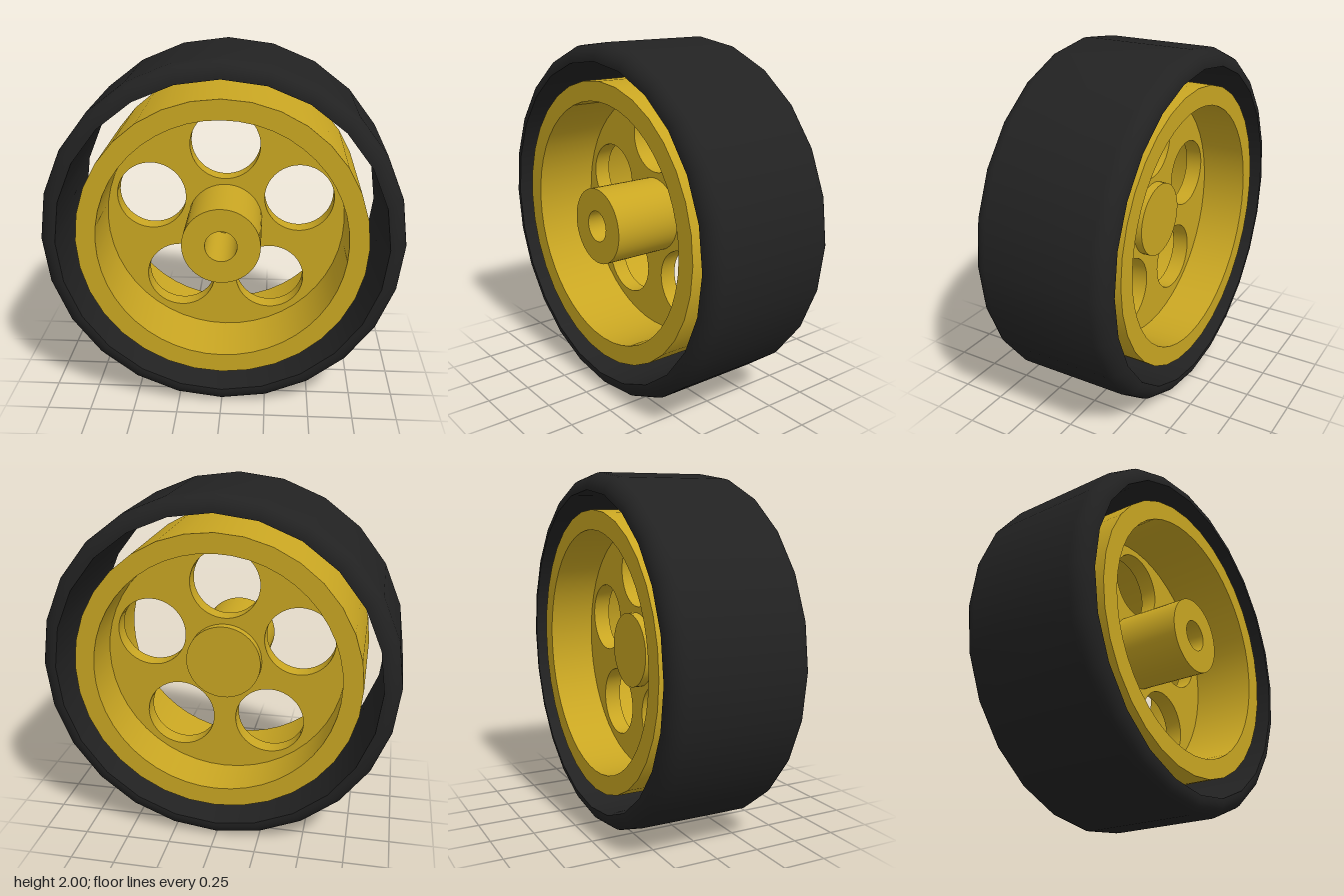
import * as THREE from 'three';
import { toCreasedNormals } from 'three/addons/utils/BufferGeometryUtils.js';

const gold = new THREE.MeshStandardMaterial({ color: 0xc9a622 });
gold.name = 'gold';
const black = new THREE.MeshStandardMaterial({ color: 0x222222 });
black.name = 'black rubber';

// Regular polygon outline with its first corner on +x
function circle(radius, sides, cx = 0, cy = 0, Type = THREE.Shape) {
  const points = [];
  for (let i = 0; i < sides; i++) {
    const a = (i / sides) * Math.PI * 2;
    points.push(new THREE.Vector2(cx + radius * Math.cos(a), cy + radius * Math.sin(a)));
  }
  return new Type(points);
}

// Outline with holes, extruded from z = back to z = front
function plate(name, shape, holes, back, front) {
  shape.holes.push(...holes);
  const geometry = new THREE.ExtrudeGeometry(shape, { depth: front - back, bevelEnabled: false });
  geometry.translate(0, 0, back);
  const mesh = new THREE.Mesh(toCreasedNormals(geometry, 0.6), gold);
  mesh.name = name;
  return mesh;
}

// Thin tyre band with rounded outer shoulders and a straight inner wall
function buildTire() {
  const inner = 0.905, half = 0.4, r = 0.09, steps = 8;
  const profile = [new THREE.Vector2(inner, -half)];
  for (const side of [-1, 1]) {
    for (let i = 0; i <= steps; i++) {
      const a = (side < 0 ? i - steps : i) / steps * Math.PI / 2;
      profile.push(new THREE.Vector2(1 - r + r * Math.cos(a), side * (half - r) + r * Math.sin(a)));
    }
  }
  profile.push(new THREE.Vector2(inner, half), new THREE.Vector2(inner, -half));
  const geometry = new THREE.LatheGeometry(profile, 24);
  geometry.rotateX(Math.PI / 2);
  const mesh = new THREE.Mesh(toCreasedNormals(geometry, 0.6), black);
  mesh.name = 'tire';
  return mesh;
}

export function createModel() {
  const wheel = new THREE.Group();
  wheel.name = 'wheel';
  wheel.position.y = 1;

  // Five round openings in the disc, the first at the top
  const openings = [];
  for (let i = 0; i < 5; i++) {
    const a = Math.PI / 2 + (i * Math.PI * 2) / 5;
    openings.push(circle(0.2, 48, 0.45 * Math.cos(a), 0.45 * Math.sin(a), THREE.Path));
  }

  wheel.add(
    buildTire(),
    plate('rim', circle(0.8, 32), [circle(0.69, 48, 0, 0, THREE.Path)], -0.37, 0.37),
    plate('disc', circle(0.69, 48), openings, -0.1, 0),
    // Front hub with a blind axle bore, and a short boss behind
    plate('hub', circle(0.215, 48), [circle(0.088, 32, 0, 0, THREE.Path)], 0, 0.4),
    plate('rearBoss', circle(0.215, 48), [], -0.15, -0.1),
  );

  const model = new THREE.Group();
  model.add(wheel);
  return model;
}
